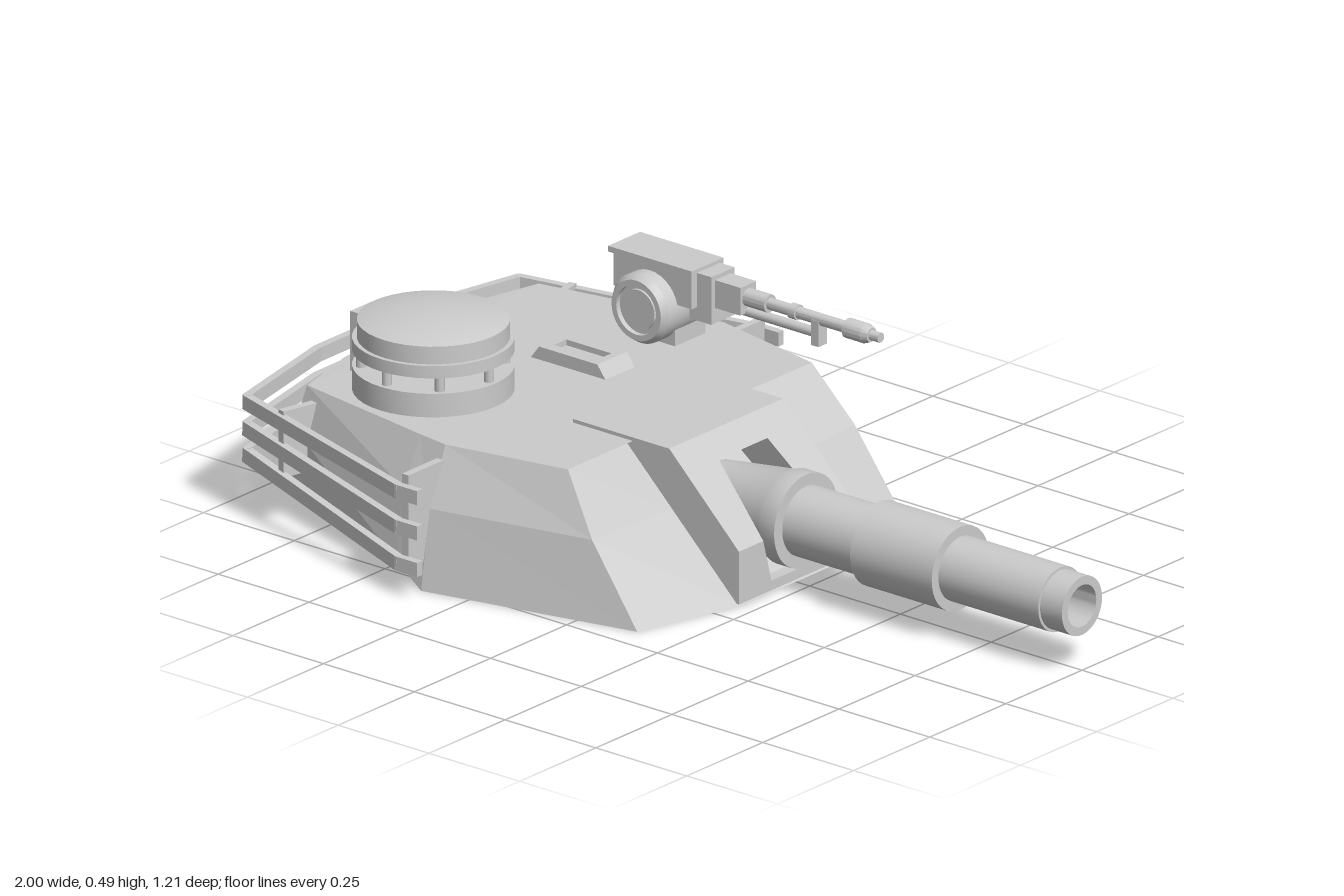
import * as THREE from 'three';
import { toCreasedNormals } from 'three/addons/utils/BufferGeometryUtils.js';

const mat = new THREE.MeshStandardMaterial({ color: 0xcccccc });

function add(parent, name, geo, x = 0, y = 0, z = 0) {
  const m = new THREE.Mesh(geo, mat);
  m.name = name;
  m.position.set(x, y, z);
  parent.add(m);
  return m;
}

// Box given by its limits
function box(parent, name, x0, x1, y0, y1, z0, z1) {
  return add(parent, name, new THREE.BoxGeometry(x1 - x0, y1 - y0, z1 - z0),
    (x0 + x1) / 2, (y0 + y1) / 2, (z0 + z1) / 2);
}

// Turned part from [radius, height] pairs, with sharp steps
function turned(profile, sides = 40) {
  const pts = profile.map(([r, h]) => new THREE.Vector2(r, h));
  return toCreasedNormals(new THREE.LatheGeometry(pts, sides), 0.5);
}

// Straight bar between two points
function beam(parent, name, a, b, height, width) {
  const d = b.clone().sub(a);
  const m = add(parent, name, new THREE.BoxGeometry(width, height, d.length() + width * 0.4));
  m.position.copy(a).add(b).multiplyScalar(0.5);
  m.lookAt(b);
}

// Faceted shell lofted through mirrored stations from rear to front
function shellGeometry() {
  // bottom x, y, z, then top x, y, z
  const stations = [
    [-0.905, 0.08, 0.19, -0.862, 0.298, 0.2],
    [-0.855, 0.078, 0.4, -0.815, 0.3, 0.38],
    [-0.45, 0.04, 0.525, -0.45, 0.302, 0.445],
    [-0.36, 0, 0.548, -0.37, 0.302, 0.457],
    [0.14, 0, 0.435, -0.08, 0.302, 0.4],
    [0.212, 0, 0.18, -0.105, 0.302, 0.19],
  ];
  const rings = stations.map(([bx, by, bz, tx, ty, tz]) => {
    const t = 0.58, mix = THREE.MathUtils.lerp;
    const half = [[bx, by, bz], [mix(bx, tx, t), mix(by, ty, t), mix(bz, tz, t) * 1.04], [tx, ty, tz]];
    return [...half.map(([x, y, z]) => [x, y, -z]), ...half.slice().reverse()];
  });
  const out = [];
  const tri = (...p) => p.forEach((v) => out.push(...v));
  for (let i = 0; i < rings.length - 1; i++) {
    for (let k = 0; k < 6; k++) {
      const n = (k + 1) % 6, A = rings[i], B = rings[i + 1];
      tri(A[k], A[n], B[n]);
      tri(A[k], B[n], B[k]);
    }
  }
  const rear = rings[0], front = rings[rings.length - 1];
  for (let k = 1; k < 5; k++) {
    tri(rear[0], rear[k + 1], rear[k]);
    tri(front[0], front[k], front[k + 1]);
  }
  const g = new THREE.BufferGeometry();
  g.setAttribute('position', new THREE.Float32BufferAttribute(out, 3));
  g.computeVertexNormals();
  return g;
}

// Half of the gun shield: a notched plate whose front follows the slope
function shieldGeometry(points) {
  const shape = new THREE.Shape(points.map(([z, y]) => new THREE.Vector2(z, y)));
  const g = new THREE.ExtrudeGeometry(shape, { depth: 1, bevelEnabled: false });
  g.rotateY(Math.PI / 2);
  const p = g.attributes.position;
  for (let i = 0; i < p.count; i++) {
    const slope = 0.212 - 0.192 * Math.max(0, (p.getY(i) - 0.125) / 0.185);
    p.setX(i, p.getX(i) > 0.5 ? slope : -0.245);
  }
  g.computeVertexNormals();
  return g;
}

function mainGun() {
  const g = new THREE.Group();
  g.name = 'mainGun';
  add(g, 'shieldUpper', shieldGeometry([[0.187, 0.125], [0.187, 0.31], [-0.187, 0.31], [-0.187, 0.125],
    [-0.107, 0.125], [-0.08, 0.265], [0.08, 0.265], [0.107, 0.125]]));
  add(g, 'shieldLower', shieldGeometry([[0.187, 0.005], [0.187, 0.125], [0.107, 0.125], [0.08, 0.027],
    [-0.08, 0.027], [-0.107, 0.125], [-0.187, 0.125], [-0.187, 0.005]]));
  const barrel = turned([[0, 0], [0.075, 0], [0.1, 0.19], [0.105, 0.2], [0.105, 0.24], [0.078, 0.24],
    [0.078, 0.44], [0.094, 0.44], [0.094, 0.665], [0.072, 0.665], [0.072, 0.94], [0.066, 0.94],
    [0.066, 1], [0.047, 1], [0.047, 0.9], [0, 0.9]]);
  add(g, 'barrel', barrel.rotateZ(-Math.PI / 2), 0, 0.146, 0);
  return g;
}

function cupola() {
  const g = new THREE.Group();
  g.name = 'cupola';
  g.position.set(-0.6, 0, 0.222);
  add(g, 'cupolaBase', turned([[0, 0.29], [0.172, 0.29], [0.172, 0.355], [0, 0.355]]));
  for (let i = 0; i < 8; i++) {
    const a = (i * Math.PI) / 4;
    add(g, 'cupolaPost', new THREE.CylinderGeometry(0.011, 0.011, 0.05, 10),
      Math.cos(a) * 0.153, 0.375, Math.sin(a) * 0.153);
  }
  add(g, 'cupolaLid', turned([[0, 0.39], [0.172, 0.39], [0.172, 0.418], [0.162, 0.418], [0.162, 0.458],
    [0.13, 0.467], [0.07, 0.475], [0, 0.479]]));
  box(g, 'cupolaHinge', -0.2, -0.15, 0.29, 0.435, -0.035, 0.035);
  return g;
}

function machineGun() {
  const g = new THREE.Group();
  g.name = 'machineGun';
  const z = -0.335;
  box(g, 'mountPedestal', -0.49, -0.36, 0.29, 0.42, z - 0.05, z + 0.05);
  box(g, 'receiver', -0.525, -0.31, 0.4, 0.475, z - 0.045, z + 0.055);
  box(g, 'receiverCover', -0.54, -0.31, 0.473, 0.486, z - 0.05, z + 0.055);
  box(g, 'cradle', -0.33, -0.27, 0.37, 0.478, z - 0.038, z + 0.038);
  box(g, 'barrelHousing', -0.27, -0.2, 0.405, 0.468, z - 0.026, z + 0.026);
  // side drums with a raised rim and a hub
  for (const s of [-1, 1]) {
    const drum = turned([[0, 0], [0.078, 0], [0.078, 0.085], [0.068, 0.1], [0.055, 0.1],
      [0.055, 0.088], [0.045, 0.088], [0.045, 0.094], [0, 0.094]], 32);
    add(g, 'sideDrum', drum.rotateX((s * Math.PI) / 2), -0.425, 0.382, z);
  }
  const barrel = turned([[0, 0], [0.02, 0], [0.02, 0.07], [0.013, 0.07], [0.013, 0.13], [0.017, 0.13],
    [0.017, 0.15], [0.013, 0.15], [0.013, 0.285], [0.022, 0.285], [0.022, 0.335], [0.016, 0.35],
    [0.011, 0.35], [0.011, 0.375], [0, 0.375]], 16);
  add(g, 'machineGunBarrel', barrel.rotateZ(-Math.PI / 2), -0.21, 0.44, z);
  const tube = new THREE.CylinderGeometry(0.011, 0.011, 0.29, 12).rotateZ(Math.PI / 2);
  add(g, 'recoilTube', tube, -0.145, 0.407, z);
  box(g, 'tubeBracket', -0.015, 0.005, 0.382, 0.44, z - 0.014, z + 0.014);
  return g;
}

// Low bevelled roof sight with a sunken window
function roofSight() {
  const outline = (w, d, C) => {
    const s = new C();
    s.moveTo(-w, -d); s.lineTo(w, -d); s.lineTo(w, d); s.lineTo(-w, d); s.closePath();
    return s;
  };
  const shape = outline(0.107, 0.048, THREE.Shape);
  shape.holes.push(outline(0.062, 0.02, THREE.Path));
  const geo = new THREE.ExtrudeGeometry(shape, { depth: 0.035, bevelEnabled: false }).rotateX(-Math.PI / 2);
  const p = geo.attributes.position;
  for (let i = 0; i < p.count; i++) {
    if (p.getY(i) > 0.01 && Math.abs(p.getX(i)) > 0.1) p.setX(i, p.getX(i) * 0.75);
  }
  geo.computeVertexNormals();
  const g = new THREE.Group();
  g.name = 'roofSight';
  add(g, 'sightFrame', geo, -0.452, 0.296, -0.092);
  box(g, 'sightWindow', -0.515, -0.39, 0.296, 0.318, -0.113, -0.071);
  return g;
}

function stowageRack() {
  const g = new THREE.Group();
  g.name = 'stowageRack';
  const V = (x, y, z) => new THREE.Vector3(x, y, z);
  // three rails running round the rear, [front height, rear height]
  for (const [f, r] of [[0.235, 0.255], [0.155, 0.195], [0.072, 0.135]]) {
    const half = [V(-0.33, f, 0.593), V(-0.385, f, 0.593), V(-0.925, r, 0.447), V(-0.988, r, 0.14)];
    const path = [...half, ...half.map((p) => V(p.x, p.y, -p.z)).reverse()];
    for (let i = 0; i < path.length - 1; i++) beam(g, 'rackRail', path[i], path[i + 1], 0.032, 0.018);
  }
  // plates holding the rails to the shell
  for (const s of [-1, 1]) {
    box(g, 'frontBracket', -0.382, -0.364, 0.06, 0.272, Math.min(s * 0.44, s * 0.585), Math.max(s * 0.44, s * 0.585));
    const rear = box(g, 'rearBracket', -0.8, -0.782, 0.125, 0.275, s * 0.425 - 0.055, s * 0.425 + 0.055);
    rear.rotation.y = -s * 0.25;
  }
  return g;
}

export function createModel() {
  const model = new THREE.Group();
  model.name = 'turret';
  add(model, 'turretShell', shellGeometry());
  model.add(mainGun(), cupola(), machineGun(), roofSight(), stowageRack());
  return model;
}
